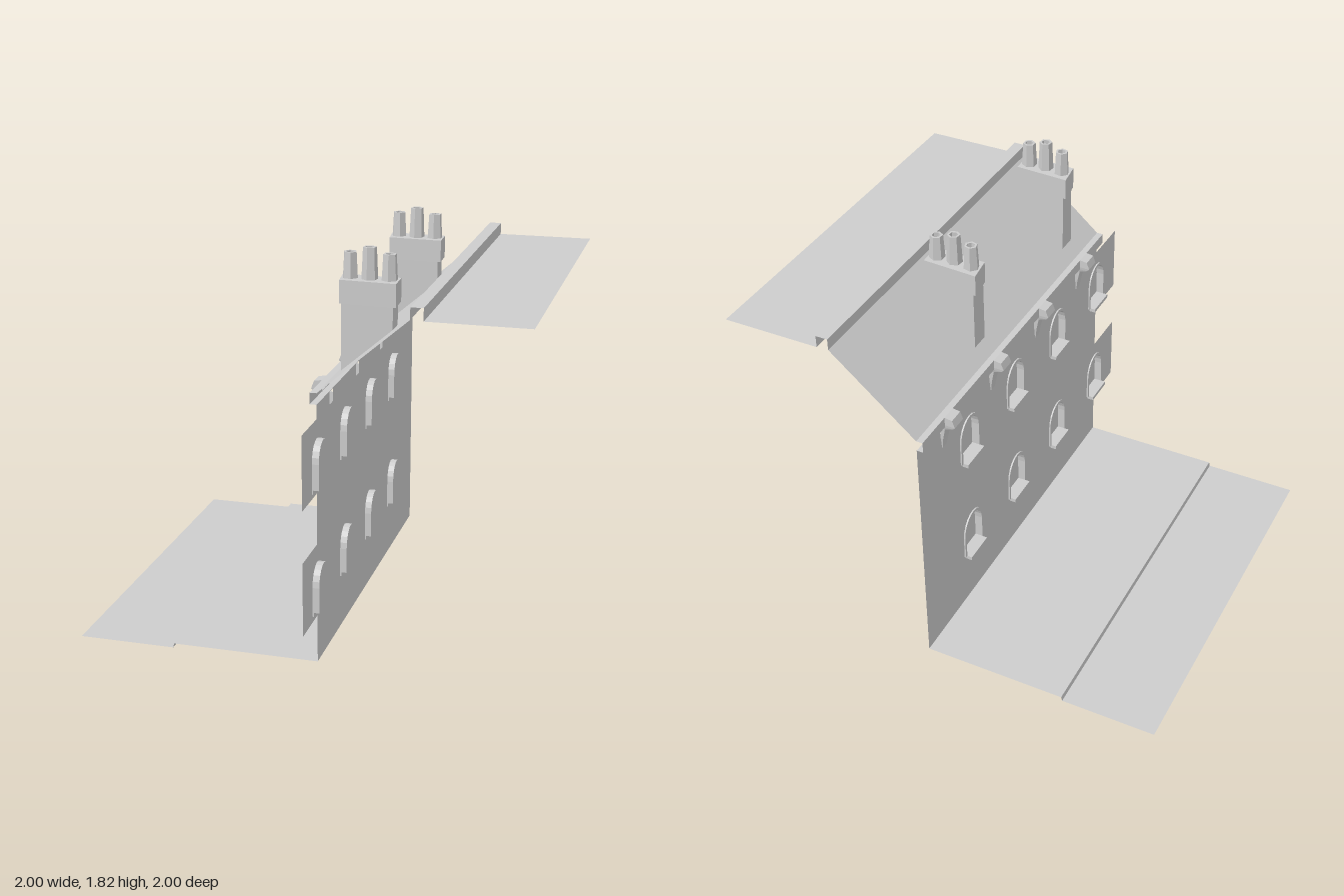
import * as THREE from 'three';

const Z0 = -1, Z1 = 0.78;
const BRACKET_Z = [0.557, 0.112, -0.333, -0.778];
const WINDOW_Z = [0.78, 0.335, -0.11, -0.555];
const WINDOW_Y = [0.285, 0.84];

// Flat-shaded skin between successive rows of 3D points
function loft(rows) {
  const pos = [];
  for (let i = 0; i + 1 < rows.length; i++) {
    const a = rows[i], b = rows[i + 1];
    for (let j = 0; j + 1 < a.length; j++) {
      pos.push(...a[j], ...b[j], ...a[j + 1], ...a[j + 1], ...b[j], ...b[j + 1]);
    }
  }
  const g = new THREE.BufferGeometry();
  g.setAttribute('position', new THREE.Float32BufferAttribute(pos, 3));
  g.computeVertexNormals();
  return g;
}

// Sheet following an x-y profile along the whole street length
const sheet = (profile) => loft([Z1, Z0].map((z) => profile.map(([x, y]) => [x, y, z])));

// Closed path from [z, y] pairs
const path = (pts, Type = THREE.Path) => new Type(pts.map(([z, y]) => new THREE.Vector2(z, y)));
const rect = (z0, z1, y0, y1) => [[z0, y0], [z1, y0], [z1, y1], [z0, y1]];

// Arched window outline, base at y = 0; grow widens it for the frame
function arch(grow = 0, z = 0, y = 0) {
  const w = 0.075 + grow, pts = [[z - w, y], [z + w, y]];
  for (let i = 0; i <= 10; i++) {
    const a = (i / 10) * Math.PI;
    pts.push([z + w * Math.cos(a), y + 0.115 + (0.09 + grow) * Math.sin(a)]);
  }
  return pts;
}

export function createModel() {
  const root = new THREE.Group();
  const stone = new THREE.MeshStandardMaterial({ color: 0xcccccc, side: THREE.DoubleSide });
  stone.name = 'pale grey';

  const add = (name, geo, parent = root) => {
    const m = new THREE.Mesh(geo, stone);
    m.name = name;
    parent.add(m);
    return m;
  };
  // z-y shapes are turned to face the street (-x)
  const facing = (geo, x) => geo.rotateY(-Math.PI / 2).translate(x, 0, 0);

  // Ground and roof sheets
  add('road', sheet([[-1, 0], [-0.56, 0]]));
  add('kerb', sheet([[-0.56, 0], [-0.555, 0.02]]));
  add('pavement', sheet([[-0.555, 0.02], [0.11, 0.02]]));
  add('slopedRoof', sheet([[0.11, 1.24], [0.5, 1.578]]));
  add('parapet', sheet([[0.5, 1.578], [0.5, 1.63], [0.555, 1.63], [0.555, 1.575]]));
  add('flatRoof', sheet([[0.555, 1.575], [1, 1.575]]));
  add('corniceTop', sheet([[0.08, 1.24], [0.11, 1.24]]));
  add('corniceSoffit', sheet([[0.08, 1.19], [0.11, 1.19]]));

  // Cornice face, open behind each bracket
  const face = path(rect(Z0, Z1, 1.19, 1.24), THREE.Shape);
  for (const z of BRACKET_Z) face.holes.push(path(rect(z - 0.034, z + 0.034, 1.193, 1.237)));
  add('corniceFace', facing(new THREE.ShapeGeometry(face), 0.08));

  // Facade with two toothed ends and window openings
  const wall = path([
    [Z0, 0.02], [Z1, 0.02], [Z1, 0.24], [1, 0.24], [1, 0.57], [Z1, 0.57],
    [Z1, 0.8], [1, 0.8], [1, 1.128], [Z1, 1.128], [Z1, 1.19], [Z0, 1.19],
  ], THREE.Shape);
  for (const z of WINDOW_Z) for (const y of WINDOW_Y) wall.holes.push(path(arch(0, z, y)));
  for (const z of BRACKET_Z) wall.holes.push(path(rect(z - 0.027, z + 0.027, 1.13, 1.187)));
  add('wall', facing(new THREE.ShapeGeometry(wall), 0.11));

  // Windows: recessed pane, reveal, raised frame and sill
  const outline = arch(), closed = [...outline, outline[0]];
  const reveal = loft([0.11, 0.14].map((x) => closed.map(([z, y]) => [x, y, z])));
  const pane = facing(new THREE.ShapeGeometry(path(outline, THREE.Shape)), 0.14);
  const ring = path(arch(0.013), THREE.Shape);
  ring.holes.push(path(outline));
  const frame = facing(new THREE.ExtrudeGeometry(ring, { depth: 0.007, bevelEnabled: false }), 0.11);
  const sill = new THREE.BoxGeometry(0.036, 0.018, 0.15).translate(0.097, -0.009, 0);
  for (const y of WINDOW_Y) for (const z of WINDOW_Z) {
    const w = new THREE.Group();
    w.name = 'window';
    w.position.set(0, y, z);
    add('pane', pane, w);
    add('reveal', reveal, w);
    add('frame', frame, w);
    add('sill', sill, w);
    root.add(w);
  }

  // Brackets: front x, y, half width, back x
  const bracketRows = [
    [0.08, 1.24, 0.036, 0.08], [0.045, 1.234, 0.036, 0.08], [0.032, 1.2, 0.036, 0.08],
    [0.045, 1.187, 0.034, 0.085], [0.085, 1.17, 0.029, 0.11], [0.098, 1.11, 0.025, 0.11],
    [0.107, 1.055, 0.017, 0.11],
  ].map(([x, y, w, b]) => [[b, y, w], [x, y, w], [x, y, -w], [b, y, -w]]);
  const bracket = loft(bracketRows);
  for (const z of BRACKET_Z) add('bracket', bracket).position.z = z;

  // Chimneys: slant-bottomed stack, skewed cap and three hollow pots
  const stackShape = path([[0.165, 1.29], [0.385, 1.48], [0.385, 1.58], [0.165, 1.58]], THREE.Shape);
  const stack = new THREE.ExtrudeGeometry(stackShape, { depth: 0.09, bevelEnabled: false }).translate(0, 0, -0.045);
  const cap = new THREE.BoxGeometry(0.25, 0.1, 0.115).translate(0.275, 1.63, 0);
  const p = cap.attributes.position;
  for (let i = 0; i < p.count; i++) {
    const x = p.getX(i), z = p.getZ(i);
    p.setXYZ(i, x + (x < 0.275 ? 0.13 : 0.04) * z, p.getY(i), z + 0.06 * (x - 0.275));
  }
  cap.computeVertexNormals();
  const pots = [[0.19, -0.008, 0.11, 0.3], [0.275, 0, 0.135, 0.9], [0.36, 0, 0.11, 0]];
  for (const z of [0.55, -0.335]) {
    const c = new THREE.Group();
    c.name = 'chimney';
    c.position.z = z;
    add('stack', stack, c);
    add('cap', cap, c);
    for (const [x, dz, h, turn] of pots) {
      const prof = [[0.035, 0], [0.029, h], [0.019, h], [0.019, h - 0.05], [0, h - 0.05]];
      const g = new THREE.LatheGeometry(prof.map(([r, y]) => new THREE.Vector2(r, y)), 6).toNonIndexed();
      g.computeVertexNormals();
      const pot = add('pot', g, c);
      pot.position.set(x, 1.68, dz);
      pot.rotation.y = turn;
    }
    root.add(c);
  }
  return root;
}
